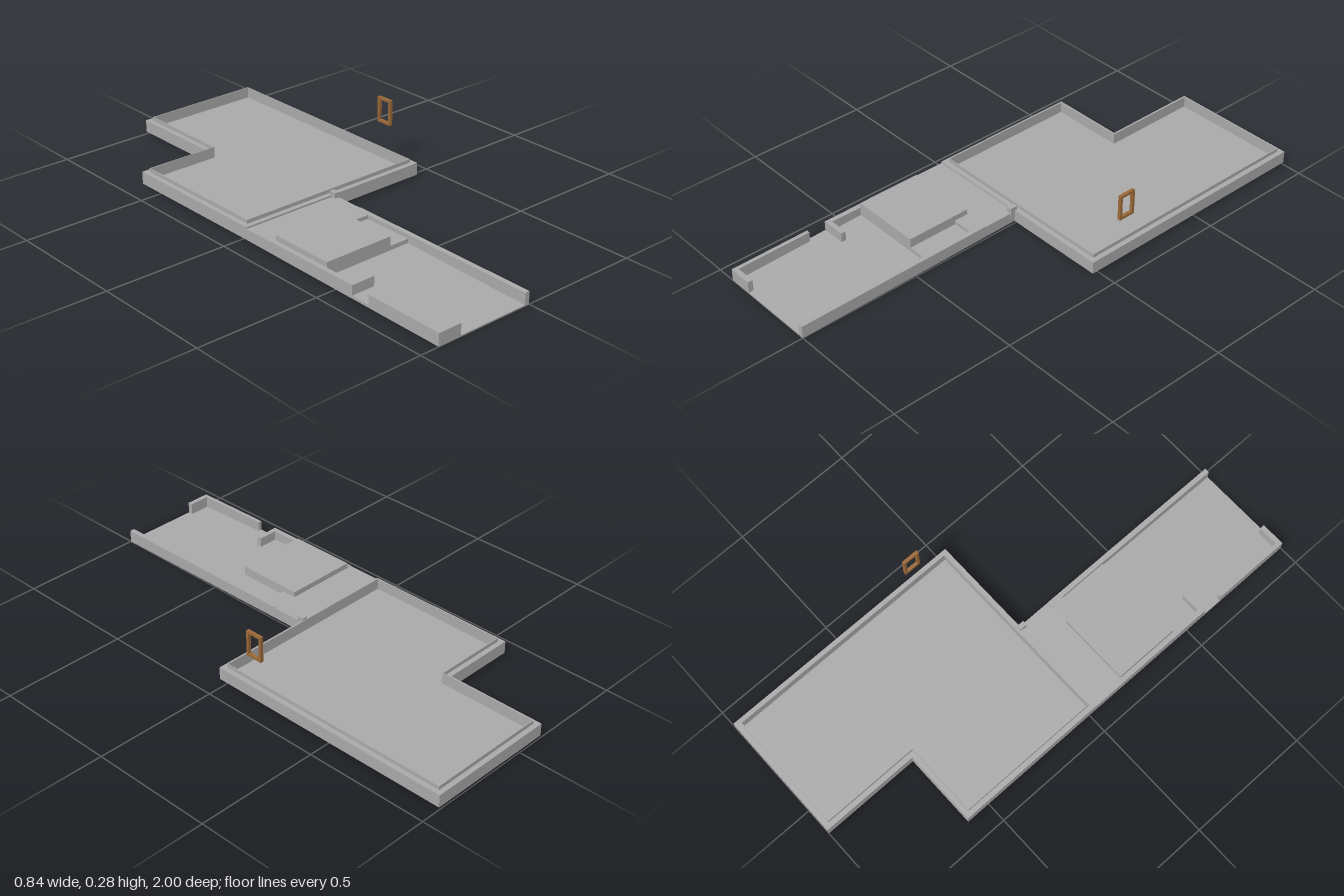
import * as THREE from 'three';

export function createModel() {
  const group = new THREE.Group();
  const concrete = new THREE.MeshStandardMaterial({ color: 0xa8a8a8 });
  const wood = new THREE.MeshStandardMaterial({ color: 0x9a6838 });

  function add(name, geometry, material = concrete) {
    const mesh = new THREE.Mesh(geometry, material);
    mesh.name = name;
    group.add(mesh);
    return mesh;
  }
  const points = (list) => list.map(([a, b]) => new THREE.Vector2(a, b));

  // Stepped outline of the main house in (x, z), shrunk inwards by t
  const outline = (t) => points([
    [-0.115 + t, -1 + t], [0.42 - t, -1 + t], [0.42 - t, 0.03 - t],
    [-0.42 + t, 0.03 - t], [-0.42 + t, -0.6 + t], [-0.115 + t, -0.6 + t],
  ]);

  // Solid or ring following the outline, between two heights
  function plan(name, outer, inner, bottom, top) {
    const shape = new THREE.Shape(outline(outer));
    if (inner !== null) shape.holes.push(new THREE.Path(outline(inner)));
    const geo = new THREE.ExtrudeGeometry(shape, { depth: top - bottom, bevelEnabled: false });
    geo.rotateX(Math.PI / 2).translate(0, top, 0);
    add(name, geo);
  }

  // Side profile in (z, y) swept from x0 to x1
  function strip(name, x0, x1, profile) {
    const geo = new THREE.ExtrudeGeometry(new THREE.Shape(points(profile)),
      { depth: x1 - x0, bevelEnabled: false });
    geo.rotateY(-Math.PI / 2).translate(x1, 0, 0);
    add(name, geo);
  }

  function box(name, x0, x1, y0, y1, z0, z1, material) {
    const geo = new THREE.BoxGeometry(x1 - x0, y1 - y0, z1 - z0);
    geo.translate((x0 + x1) / 2, (y0 + y1) / 2, (z0 + z1) / 2);
    add(name, geo, material);
  }

  // Main house: floor, outer wall and thin raised lip
  plan('houseFloor', 0.02, null, 0.01, 0.03);
  plan('houseWall', 0, 0.02, 0.01, 0.06);
  plan('houseLip', 0.02, 0.023, 0.03, 0.075);

  // Gently sloping front wing
  const under = (z) => 0.01 * (1 - z);
  const wallTop = (z) => Math.min(0.055, 0.05 + 0.012 * (1 - z));
  const wingWall = (name, x0, x1, z0, z1) => strip(name, x0, x1, [
    [z0, under(z0)], [z1, under(z1)], [z1, wallTop(z1)], [z0, wallTop(z0)],
  ]);
  strip('wingFloor', -0.42, 0, [[0.03, 0.01], [1, 0], [1, 0.004], [0.44, 0.02], [0.03, 0.022]]);
  wingWall('wingLeftWall', -0.42, -0.40, 0.17, 0.59);
  wingWall('wingLeftFrontWall', -0.42, -0.405, 0.67, 1);
  wingWall('wingRightWall', -0.02, 0, 0.17, 1);
  wingWall('doorReturnWall', -0.40, -0.32, 0.57, 0.59);
  wingWall('frontReturnWall', -0.405, -0.32, 0.98, 1);

  // Landing, steps and raised pad
  box('landing', -0.42, 0, 0.01, 0.053, 0.03, 0.17);
  box('upperStep', -0.105, -0.02, 0.015, 0.053, 0.17, 0.23);
  box('lowerStep', -0.105, -0.02, 0.015, 0.037, 0.23, 0.44);
  box('raisedPad', -0.40, -0.105, 0.015, 0.075, 0.17, 0.44);
  box('cornerPost', -0.018, 0.002, 0.03, 0.075, 0.02, 0.05);

  // Open window frame hanging above the side wall
  const frame = new THREE.Shape(points([[-0.175, 0.175], [-0.105, 0.175], [-0.105, 0.279], [-0.175, 0.279]]));
  frame.holes.push(new THREE.Path(points([[-0.165, 0.185], [-0.165, 0.269], [-0.115, 0.269], [-0.115, 0.185]])));
  const frameGeo = new THREE.ExtrudeGeometry(frame, { depth: 0.013, bevelEnabled: false });
  frameGeo.rotateY(-Math.PI / 2).translate(0.413, 0, 0);
  add('windowFrame', frameGeo, wood);

  return group;
}
